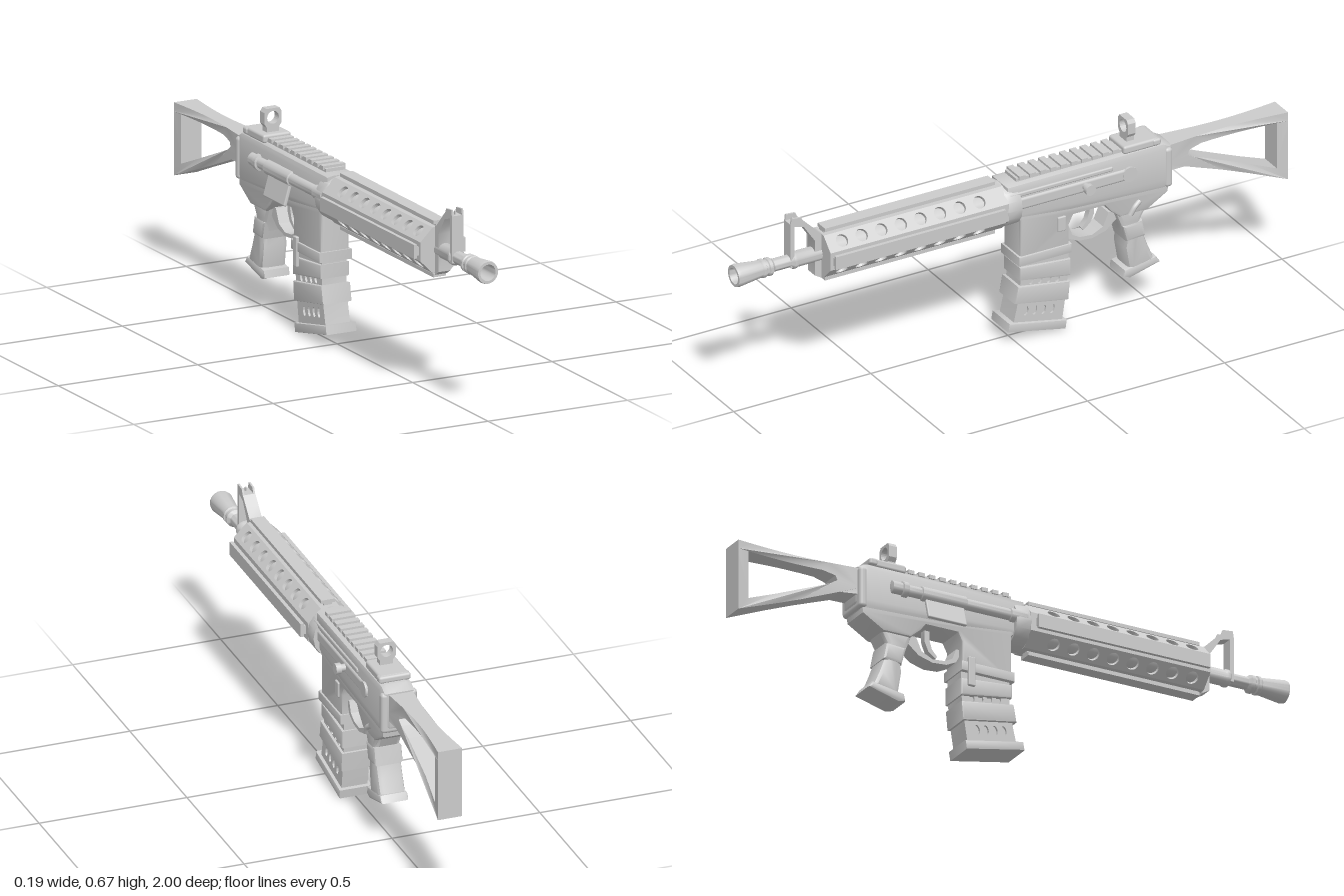
import * as THREE from 'three';
import { toCreasedNormals } from 'three/addons/utils/BufferGeometryUtils.js';
import { RoundedBoxGeometry } from 'three/addons/geometries/RoundedBoxGeometry.js';

const AXIS = 0.487; // barrel height

export function createModel() {
  const root = new THREE.Group();
  const mat = new THREE.MeshStandardMaterial({ color: 0xcccccc, side: THREE.DoubleSide });

  const add = (name, geo, x = 0, y = 0, z = 0, parent = root) => {
    const m = new THREE.Mesh(geo, mat);
    m.name = name;
    m.position.set(x, y, z);
    parent.add(m);
    return m;
  };
  const box = (name, w, h, d, x, y, z, parent) => add(name, new THREE.BoxGeometry(w, h, d), x, y, z, parent);
  const rbox = (name, w, h, d, r, x, y, z) => add(name, new RoundedBoxGeometry(w, h, d, 2, r), x, y, z);
  const vecs = (pts) => pts.map(([a, b]) => new THREE.Vector2(a, b));

  // side outline given as [z, y], extruded across x and centred
  const sideGeo = (pts, width, bevel = 0, holes = []) => {
    const shape = new THREE.Shape(vecs(pts));
    shape.holes = holes.map((h) => (h instanceof THREE.Path ? h : new THREE.Path(vecs(h))));
    const g = new THREE.ExtrudeGeometry(shape, {
      depth: width - 2 * bevel, bevelEnabled: bevel > 0, bevelThickness: bevel,
      bevelSize: bevel, bevelOffset: -bevel, bevelSegments: 2, curveSegments: 12,
    });
    g.translate(0, 0, bevel - width / 2);
    g.rotateY(-Math.PI / 2);
    return toCreasedNormals(g, 0.6);
  };
  // profile [radius, z] turned about the z axis
  const turned = (pts, seg = 24) => {
    const g = new THREE.LatheGeometry(vecs(pts), seg);
    g.rotateX(Math.PI / 2);
    return toCreasedNormals(g, 0.6);
  };
  const tube = (name, pts, r, parent) => add(name, new THREE.TubeGeometry(
    new THREE.CatmullRomCurve3(pts.map((p) => new THREE.Vector3(...p))), 16, r, 8), 0, 0, 0, parent);

  // barrel with flared, hollow muzzle
  add('barrel', turned([
    [0.026, 0.6], [0.026, 0.775], [0.029, 0.78], [0.029, 0.79], [0.021, 0.8], [0.021, 0.86], [0.03, 0.87],
    [0.03, 0.88], [0.026, 0.883], [0.026, 0.89], [0.031, 0.893], [0.031, 0.903], [0.028, 0.907],
    [0.038, 0.99], [0.036, 1], [0.027, 1], [0.025, 0.985], [0.025, 0.92], [0, 0.92],
  ]), 0, AXIS, 0);

  // handguard: eight flat panels, the diagonal ones pierced by eight holes
  const guard = new THREE.Group();
  guard.name = 'handguard';
  guard.position.set(0, AXIS, 0);
  root.add(guard);
  const z0 = 0.04, z1 = 0.69, apothem = 0.075;
  const half = apothem * Math.tan(Math.PI / 8);
  for (let i = 0; i < 8; i++) {
    const panel = new THREE.Shape(vecs([[-half, -z1], [half, -z1], [half, -z0], [-half, -z0]]));
    if (i % 2) {
      for (let k = 0; k < 8; k++) {
        panel.holes.push(new THREE.Path().absarc(0, -0.135 - k * 0.0715, 0.021, 0, Math.PI * 2, true));
      }
    }
    const g = new THREE.ExtrudeGeometry(panel, { depth: 0.012, bevelEnabled: false, curveSegments: 12 });
    g.rotateX(-Math.PI / 2);
    g.translate(0, apothem - 0.012, 0);
    g.rotateZ(i * Math.PI / 4);
    add('handguardPanel', g, 0, 0, 0, guard);
  }
  add('handguardCore', turned([[0, z0], [0.052, z0], [0.052, z1 - 0.01], [0, z1 - 0.01]], 16), 0, 0, 0, guard);
  for (const z of [z0 + 0.004, z1 - 0.004]) {
    const cap = new THREE.CylinderGeometry(0.079, 0.079, 0.008, 8);
    cap.rotateY(Math.PI / 8).rotateX(Math.PI / 2);
    add('handguardEnd', cap, 0, 0, z, guard);
  }
  // T-section rails on all four sides
  for (let i = 0; i < 4; i++) {
    const rail = new THREE.Group();
    rail.name = 'handguardRail';
    rail.rotation.z = i * Math.PI / 2;
    box('railNeck', 0.028, 0.02, 0.62, 0, 0.078, 0.37, rail);
    box('railHead', 0.046, 0.012, 0.62, 0, 0.087, 0.37, rail);
    guard.add(rail);
  }

  // front sight: open triangular frame with a post and two ears
  add('frontSight', sideGeo(
    [[0.69, 0.405], [0.715, 0.42], [0.715, 0.545], [0.755, 0.605], [0.79, 0.615], [0.79, 0.47],
      [0.803, 0.47], [0.803, 0.625], [0.755, 0.625], [0.73, 0.6], [0.7, 0.57], [0.69, 0.565]].reverse(), 0.042), -0.002);
  for (const s of [-1, 1]) {
    add('frontSightEar', sideGeo([[0.755, 0.62], [0.765, 0.642], [0.8, 0.645], [0.803, 0.62]], 0.006), -0.002 + s * 0.018);
  }
  box('frontSightPost', 0.005, 0.02, 0.006, -0.002, 0.627, 0.785);

  // receiver
  add('barrelNut', turned([[0.05, -0.01], [0.076, -0.01], [0.078, 0], [0.078, 0.04], [0.072, 0.05], [0.05, 0.05]], 16), 0, AXIS, 0);
  add('upperReceiver', sideGeo(
    [[0.035, 0.435], [0.035, 0.565], [-0.54, 0.568], [-0.572, 0.55], [-0.572, 0.43], [-0.55, 0.395], [-0.2, 0.41]].reverse(),
    0.112, 0.022));
  add('lowerReceiver', sideGeo(
    [[0, 0.45], [-0.015, 0.43], [-0.015, 0.27], [-0.195, 0.27], [-0.195, 0.37], [-0.21, 0.4], [-0.325, 0.4],
      [-0.345, 0.375], [-0.38, 0.345], [-0.48, 0.345], [-0.555, 0.39], [-0.565, 0.48], [0, 0.48]].reverse(), 0.106, 0.008));
  add('magazineWellCollar', sideGeo([[-0.008, 0.27], [-0.008, 0.303], [-0.2, 0.303], [-0.2, 0.27]].reverse(), 0.118, 0.004));
  rbox('rearPlate', 0.122, 0.14, 0.028, 0.012, 0, 0.478, -0.555);

  // top rail with cross teeth
  box('topRail', 0.07, 0.018, 0.4, 0, 0.567, -0.21);
  for (let i = 0; i < 10; i++) box('railTooth', 0.08, 0.013, 0.022, 0, 0.577, -0.03 - i * 0.038);

  // rear sight
  rbox('rearSightBase', 0.1, 0.028, 0.13, 0.008, 0, 0.576, -0.46);
  rbox('rearSightClamp', 0.108, 0.024, 0.03, 0.008, 0, 0.577, -0.515);
  const leaf = new THREE.Shape(vecs([[-0.022, 0.585], [0.022, 0.585], [0.022, 0.605], [0.031, 0.618], [0.031, 0.655],
    [0.023, 0.667], [-0.023, 0.667], [-0.031, 0.655], [-0.031, 0.618], [-0.022, 0.605]]));
  leaf.holes.push(new THREE.Path().absarc(0, 0.637, 0.021, 0, Math.PI * 2, true));
  add('rearSightLeaf', new THREE.ExtrudeGeometry(leaf, { depth: 0.028, bevelEnabled: false, curveSegments: 12 }), -0.002, 0, -0.449);

  // left side: bolt track, handle knob, selector and release button
  rbox('boltTrack', 0.02, 0.042, 0.44, 0.009, 0.052, 0.495, -0.215);
  rbox('boltTrackRib', 0.014, 0.016, 0.38, 0.005, 0.054, 0.53, -0.16);
  const knob = new THREE.CylinderGeometry(0.012, 0.012, 0.04, 12).rotateZ(Math.PI / 2);
  add('handleStem', knob, 0.066, 0.497, -0.248);
  add('handleKnob', new THREE.CylinderGeometry(0.018, 0.018, 0.018, 16).rotateZ(Math.PI / 2), 0.087, 0.497, -0.248);
  add('trackEndCap', new THREE.CylinderGeometry(0.026, 0.026, 0.02, 16).rotateZ(Math.PI / 2), 0.054, 0.495, -0.41);
  tube('selectorLever', [[0.052, 0.385, -0.45], [0.056, 0.37, -0.43], [0.054, 0.345, -0.415]], 0.009);
  rbox('releaseButton', 0.012, 0.052, 0.03, 0.004, 0.053, 0.382, -0.165);

  // right side: guide tube with rings, hinged cover and rear button
  add('guideTube', turned([[0, -0.46], [0.022, -0.455], [0.022, -0.42], [0.027, -0.418], [0.027, -0.4], [0.02, -0.398],
    [0.02, -0.35], [0.025, -0.348], [0.025, -0.19], [0.02, -0.188], [0.02, -0.03], [0.024, -0.028], [0.024, 0.03], [0, 0.035]], 14),
  -0.054, 0.5, 0);
  const cover = rbox('hingedCover', 0.012, 0.075, 0.14, 0.004, -0.07, 0.448, -0.265);
  cover.rotation.z = -0.28;
  rbox('rightCatch', 0.012, 0.1, 0.025, 0.004, -0.058, 0.27, -0.165);

  // trigger and its guard
  add('triggerGuard', sideGeo(
    [[-0.19, 0.335], [-0.205, 0.305], [-0.24, 0.288], [-0.29, 0.284], [-0.34, 0.298], [-0.385, 0.335], [-0.385, 0.36],
      [-0.35, 0.36], [-0.33, 0.315], [-0.29, 0.296], [-0.245, 0.3], [-0.218, 0.315], [-0.205, 0.35], [-0.19, 0.35]].reverse(), 0.06));
  add('trigger', sideGeo(
    [[-0.29, 0.41], [-0.31, 0.41], [-0.308, 0.36], [-0.295, 0.33], [-0.268, 0.31], [-0.263, 0.318], [-0.282, 0.34], [-0.291, 0.37]].reverse(), 0.022));

  // pistol grip
  add('grip', sideGeo(
    [[-0.365, 0.365], [-0.385, 0.31], [-0.41, 0.25], [-0.405, 0.22], [-0.42, 0.13], [-0.515, 0.15], [-0.49, 0.21], [-0.468, 0.27],
      [-0.462, 0.31], [-0.49, 0.365]].reverse(), 0.09, 0.016));
  add('gripFoot', sideGeo([[-0.395, 0.12], [-0.4, 0.145], [-0.515, 0.165], [-0.53, 0.142], [-0.42, 0.112]].reverse(), 0.094, 0.008));
  add('gripBand', sideGeo([[-0.392, 0.305], [-0.408, 0.245], [-0.478, 0.25], [-0.466, 0.31]].reverse(), 0.096, 0.01));

  // magazine: slotted shell over a solid core, wrapped by slanted bands
  const slots = [];
  for (const [y, dz] of [[0.205, 0], [0.098, 0.02]]) {
    for (let i = 0; i < 4; i++) {
      const p = new THREE.Path();
      p.absellipse(-0.06 - i * 0.032 + dz, y - i * 0.006, 0.009, 0.016, 0, Math.PI * 2, true, 0.2);
      slots.push(p);
    }
  }
  const mag = [[-0.02, 0.29], [-0.02, 0.2], [-0.008, 0.12], [0.008, 0.05], [-0.17, 0.015], [-0.183, 0.1], [-0.195, 0.2], [-0.195, 0.29]];
  add('magazine', sideGeo(mag.slice().reverse(), 0.088, 0, slots));
  add('magazineCore', sideGeo(mag.slice().reverse(), 0.074));
  const bands = [
    [[-0.014, 0.262], [-0.014, 0.215], [-0.2, 0.185], [-0.2, 0.245]],
    [[-0.008, 0.195], [0.003, 0.135], [-0.192, 0.1], [-0.198, 0.165]],
  ];
  for (const b of bands) add('magazineBand', sideGeo(b.slice().reverse(), 0.106, 0.006));
  add('magazineFoot', sideGeo([[0.025, 0.072], [0.03, 0.043], [-0.18, 0], [-0.185, 0.03]].reverse(), 0.11, 0.004));

  // skeleton stock, pinched in the middle and flared at both ends
  const divide = (pts, n) => pts.flatMap((p, i) => {
    const q = pts[(i + 1) % pts.length];
    return Array.from({ length: n }, (_, k) => [p[0] + (q[0] - p[0]) * k / n, p[1] + (q[1] - p[1]) * k / n]);
  });
  const stock = sideGeo(
    divide([[-1, 0.305], [-1, 0.545], [-0.56, 0.545], [-0.56, 0.455], [-0.63, 0.45]], 8), 1, 0,
    [divide([[-0.645, 0.505], [-0.69, 0.515], [-0.962, 0.515], [-0.962, 0.352], [-0.66, 0.475], [-0.638, 0.49]], 6)]);
  const pos = stock.attributes.position;
  for (let i = 0; i < pos.count; i++) {
    const t = THREE.MathUtils.clamp((-pos.getZ(i) - 0.57) / 0.43, 0, 1);
    pos.setX(i, pos.getX(i) * (0.082 - 0.03 * Math.sin(Math.PI * t)));
  }
  add('stock', toCreasedNormals(stock, 0.6), -0.003);

  return root;
}
